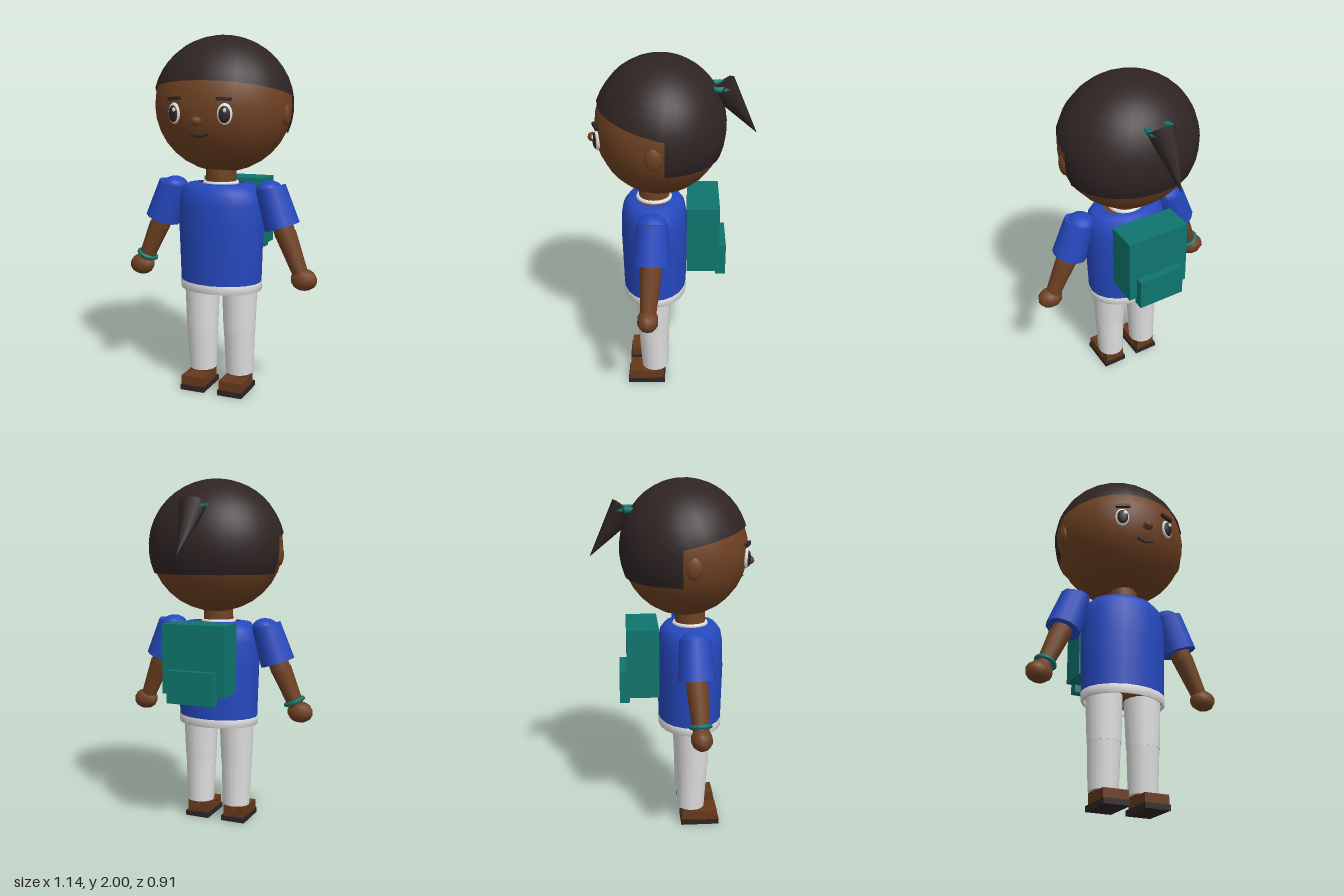
import * as THREE from 'three';

const mat = (name, color) => {
  const m = new THREE.MeshStandardMaterial({ color });
  m.name = name;
  return m;
};

export function createModel() {
  const root = new THREE.Group();
  root.name = 'child';

  const skin = mat('skin', 0x6f4122);
  const hair = mat('hair', 0x2f2424);
  const shirt = mat('shirtBlue', 0x2548be);
  const white = mat('white', 0xdedede);
  const teal = mat('teal', 0x0f766e);
  const shoe = mat('shoeBrown', 0x66391c);
  const hairOpen = mat('hairShell', 0x2f2424);
  const shirtOpen = mat('shirtShell', 0x2548be);
  const hemOpen = mat('hemShell', 0xdedede);
  for (const m of [hairOpen, shirtOpen, hemOpen]) m.side = THREE.DoubleSide;

  const V = (x, y, z) => new THREE.Vector3(x, y, z);
  const UP = V(0, 1, 0);

  const add = (name, geo, material, pos = [0, 0, 0], parent = root) => {
    const m = new THREE.Mesh(geo, material);
    m.name = name;
    m.position.set(...pos);
    parent.add(m);
    return m;
  };
  const box = (name, material, x0, x1, y0, y1, z0, z1) =>
    add(name, new THREE.BoxGeometry(x1 - x0, y1 - y0, z1 - z0), material,
      [(x0 + x1) / 2, (y0 + y1) / 2, (z0 + z1) / 2]);
  const ball = (name, material, pos, scale, w = 16, h = 12) => {
    const m = add(name, new THREE.SphereGeometry(1, w, h), material, pos);
    m.scale.set(...scale);
    return m;
  };
  // tapered cylinder from point a to point b
  const limb = (name, material, a, b, ra, rb, sides = 12) => {
    const d = b.clone().sub(a);
    const m = add(name, new THREE.CylinderGeometry(rb, ra, d.length(), sides), material,
      a.clone().add(b).multiplyScalar(0.5).toArray());
    m.quaternion.setFromUnitVectors(UP, d.normalize());
    return m;
  };

  // Head and hair share one ellipsoid centre
  const HY = 1.62, HZ = 0.065, A = 0.385, B = 0.37, C = 0.352;
  const faceZ = (x, y) =>
    HZ + C * Math.sqrt(Math.max(0, 1 - (x / A) ** 2 - ((y - HY) / B) ** 2));
  ball('head', skin, [0, HY, HZ], [A, B, C], 24, 16);

  const hairGroup = new THREE.Group();
  hairGroup.name = 'hair';
  hairGroup.position.set(0, HY, HZ);
  hairGroup.scale.set(0.395, 0.38, 0.36);
  root.add(hairGroup);
  const cap = add('hairCap', new THREE.SphereGeometry(1, 24, 10, 0, Math.PI * 2, 0, 1.42),
    hairOpen, [0, 0, 0], hairGroup);
  cap.rotation.x = -0.215;
  add('hairBack', new THREE.SphereGeometry(1, 14, 12, Math.PI + 0.1, Math.PI - 0.2, 0, 1.977),
    hairOpen, [0, 0, 0], hairGroup);

  // Ponytail with its tie
  limb('ponytail', hair, V(0, 1.84, -0.26), V(0, 1.58, -0.455), 0.08, 0.001, 8);
  const tie = add('hairTie', new THREE.TorusGeometry(0.065, 0.016, 8, 16), teal, [0, 1.835, -0.25]);
  tie.rotation.x = Math.PI / 2;

  // Face
  for (const s of [-1, 1]) {
    ball('ear', skin, [s * 0.375, 1.575, 0.085], [0.02, 0.06, 0.045], 12, 8);

    const z = faceZ(0.14, 1.585);
    const eye = ball('eyeWhite', white, [s * 0.143, 1.585, z], [0.04, 0.056, 0.016]);
    const pupil = ball('pupil', hair, [s * 0.145, 1.583, z + 0.009], [0.031, 0.044, 0.013]);
    eye.rotation.y = pupil.rotation.y = s * 0.35;
    ball('eyeGlint', white, [s * 0.143 + 0.008, 1.604, z + 0.022], [0.01, 0.012, 0.005], 10, 6);

    const brow = add('eyebrow', new THREE.BoxGeometry(0.082, 0.017, 0.022), hair,
      [s * 0.139, 1.661, faceZ(0.139, 1.661) + 0.004]);
    brow.rotation.set(0, s * 0.35, s * -0.06);
  }
  ball('nose', skin, [0, 1.548, 0.43], [0.03, 0.025, 0.028], 10, 8);
  const lips = [-0.05, -0.025, 0, 0.025, 0.05].map((x, i) => {
    const y = [1.481, 1.471, 1.467, 1.471, 1.481][i];
    return V(x, y, faceZ(x, y) + 0.004);
  });
  add('mouth', new THREE.TubeGeometry(new THREE.CatmullRomCurve3(lips), 12, 0.008, 6), hair);

  // Neck, body and shirt
  add('neck', new THREE.CylinderGeometry(0.083, 0.087, 0.17, 16), skin, [0, 1.235, 0.1]);
  const necklace = add('necklace', new THREE.TorusGeometry(0.09, 0.012, 8, 20), white, [0, 1.193, 0.1]);
  necklace.rotation.x = Math.PI / 2;

  const lathe = (name, material, pts) => {
    const geo = new THREE.LatheGeometry(pts.map(p => new THREE.Vector2(...p)), 20);
    const m = add(name, geo, material, [0, 0, 0.1]);
    m.scale.z = 0.77;
    return m;
  };
  lathe('body', skin, [[0, 0.62], [0.215, 0.62], [0.222, 1.1], [0.19, 1.17], [0.13, 1.187], [0, 1.187]]);
  lathe('shirt', shirtOpen,
    [[0.236, 0.63], [0.241, 0.8], [0.246, 0.95], [0.242, 1.08], [0.226, 1.15], [0.19, 1.188], [0.13, 1.193]]);
  lathe('hem', hemOpen, [[0.222, 0.59], [0.238, 0.59], [0.24, 0.637], [0.222, 0.637]]);

  // Arms
  for (const s of [-1, 1]) {
    const shoulder = V(s * 0.295, 1.175, 0.1), cuff = V(s * 0.365, 0.965, 0.105);
    const wrist = V(s * 0.475, 0.72, 0.12);
    limb('sleeve', shirt, cuff, shoulder, 0.1, 0.085, 12);
    ball('shoulder', shirt, [s * 0.288, 1.165, 0.1], [0.075, 0.052, 0.08], 12, 8);
    limb('upperArm', skin, V(s * 0.385, 0.92, 0.107), shoulder, 0.058, 0.06);
    limb('forearm', skin, wrist, V(s * 0.385, 0.93, 0.107), 0.044, 0.06);
    ball('hand', skin, [s * 0.497, 0.685, 0.122], [0.076, 0.061, 0.06], 10, 7);
  }
  const bracelet = add('bracelet', new THREE.TorusGeometry(0.053, 0.012, 8, 18), teal, [-0.463, 0.745, 0.118]);
  bracelet.quaternion.setFromUnitVectors(V(0, 0, 1), V(-0.4, -0.91, 0.05).normalize());

  // Legs and shoes
  for (const s of [-1, 1]) {
    const x = s * 0.115;
    limb('thigh', white, V(x, 0.35, 0.107), V(x, 0.64, 0.103), 0.091, 0.102, 16);
    limb('shin', white, V(x, 0.1, 0.1), V(x, 0.355, 0.107), 0.08, 0.089, 16);
    limb('ankle', skin, V(x, 0.06, 0.1), V(x, 0.13, 0.1), 0.055, 0.055);
    box('sole', hair, x - 0.073, x + 0.073, 0, 0.03, 0.04, 0.262);
    box('shoeHeel', shoe, x - 0.06, x + 0.06, 0.03, 0.097, 0.048, 0.15);
    box('shoeToe', shoe, x - 0.07, x + 0.07, 0.03, 0.082, 0.1, 0.252);
  }

  // Backpack
  box('backpack', teal, -0.185, 0.185, 0.81, 1.2, -0.265, -0.085);
  box('backpackPocket', teal, -0.138, 0.138, 0.765, 0.948, -0.307, -0.25);

  return root;
}
